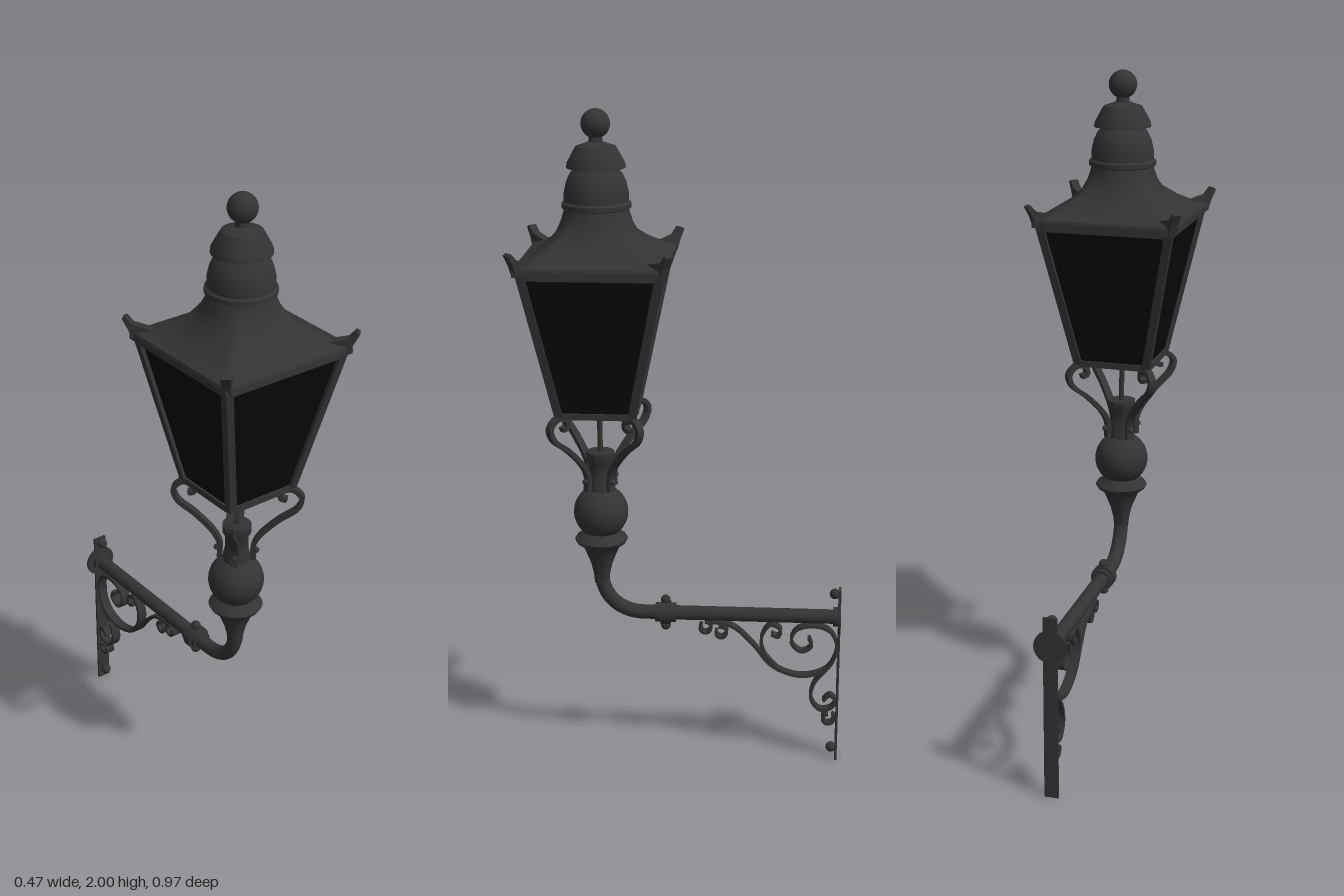
import * as THREE from 'three';
import { toCreasedNormals } from 'three/addons/utils/BufferGeometryUtils.js';

const AXIS_Z = 0.25; // lantern axis

export function createModel() {
  const iron = new THREE.MeshStandardMaterial({ color: 0x333333 });
  iron.name = 'dark iron';
  const glass = new THREE.MeshStandardMaterial({ color: 0x080808, side: THREE.DoubleSide });
  glass.name = 'black glass';

  const model = new THREE.Group();
  model.name = 'wallLantern';
  const lantern = new THREE.Group();
  lantern.name = 'lantern';
  lantern.position.z = AXIS_Z;
  model.add(lantern);

  const add = (parent, name, geo, x = 0, y = 0, z = 0, mat = iron) => {
    const mesh = new THREE.Mesh(geo, mat);
    mesh.name = name;
    mesh.position.set(x, y, z);
    parent.add(mesh);
    return mesh;
  };
  const vec2 = (list) => list.map(([x, y]) => new THREE.Vector2(x, y));
  const lathe = (list, seg = 32) => toCreasedNormals(new THREE.LatheGeometry(vec2(list), seg), 0.6);
  const ball = (r) => new THREE.SphereGeometry(r, 20, 14);
  const arc = (cy, r, from, to, n) => Array.from({ length: n + 1 }, (_, i) => {
    const a = from + (to - from) * i / n;
    return [Math.max(r * Math.cos(a), 0), cy + r * Math.sin(a)];
  });

  // Flat bar bent along a smooth curve in the XY plane
  const ribbon = (list, thick, width) => {
    const curve = new THREE.CatmullRomCurve3(list.map(([x, y]) => new THREE.Vector3(x, y, 0)));
    const n = list.length * 6, left = [], right = [];
    for (let i = 0; i <= n; i++) {
      const p = curve.getPoint(i / n), t = curve.getTangent(i / n);
      left.push(new THREE.Vector2(p.x - t.y * thick / 2, p.y + t.x * thick / 2));
      right.unshift(new THREE.Vector2(p.x + t.y * thick / 2, p.y - t.x * thick / 2));
    }
    const geo = new THREE.ExtrudeGeometry(new THREE.Shape([...left, ...right]), { depth: width, bevelEnabled: false });
    geo.translate(0, 0, -width / 2);
    return toCreasedNormals(geo, 0.7);
  };

  // ---- Chimney caps and ball finial
  add(lantern, 'lowerCap', lathe([[0.085, 1.715], [0.1, 1.722], [0.1, 1.735], [0.093, 1.74], [0.093, 1.765],
    [0.086, 1.795], [0.074, 1.82], [0.06, 1.832], [0.055, 1.845]]));
  add(lantern, 'upperCap', lathe([[0.05, 1.832], [0.085, 1.835], [0.083, 1.848], [0.07, 1.872], [0.057, 1.895],
    [0.035, 1.902], [0.02, 1.908], [0.018, 1.935]]));
  add(lantern, 'finial', ball(0.042), 0, 1.958, 0);

  // ---- Roof: square eaves blending into a round top
  const roofRows = [[0.215, 1.572, 0], [0.212, 1.582, 0], [0.18, 1.594, 0.1], [0.148, 1.618, 0.3],
    [0.12, 1.648, 0.6], [0.104, 1.68, 0.9], [0.096, 1.705, 1], [0.09, 1.73, 1]];
  const seg = 64, pos = [], idx = [];
  roofRows.forEach(([r, y, round], j) => {
    for (let i = 0; i <= seg; i++) {
      const a = i / seg * Math.PI * 2, c = Math.cos(a), s = Math.sin(a);
      const k = r * (round + (1 - round) / Math.max(Math.abs(c), Math.abs(s)));
      pos.push(k * c, y, k * s);
      if (j && i < seg) {
        const p = (j - 1) * (seg + 1) + i, q = p + seg + 1;
        idx.push(p, q, p + 1, p + 1, q, q + 1);
      }
    }
  });
  const roof = new THREE.BufferGeometry();
  roof.setAttribute('position', new THREE.Float32BufferAttribute(pos, 3));
  roof.setIndex(idx);
  add(lantern, 'roof', toCreasedNormals(roof, 0.7));
  add(lantern, 'eaves', new THREE.BoxGeometry(0.43, 0.016, 0.43), 0, 1.567, 0);

  // ---- Tapered glazed body
  const lo = 0.112, hi = 0.202, y0 = 1.125, y1 = 1.565;
  const post = (sx, sz) => {
    const geo = new THREE.BoxGeometry(0.024, y1 - y0, 0.024);
    const p = geo.attributes.position;
    for (let i = 0; i < p.count; i++) {
      const h = (p.getY(i) > 0 ? hi : lo) - 0.006;
      p.setXYZ(i, p.getX(i) + sx * h, p.getY(i) + (y0 + y1) / 2, p.getZ(i) + sz * h);
    }
    geo.computeVertexNormals();
    return geo;
  };
  const hornShape = new THREE.Shape(vec2([[0.24, 1.563], [0.296, 1.563], [0.305, 1.59], [0.322, 1.622],
    [0.312, 1.628], [0.292, 1.606], [0.24, 1.594]]));
  const pane = new THREE.BufferGeometry();
  const gl = lo - 0.004, gh = hi - 0.006;
  pane.setAttribute('position', new THREE.Float32BufferAttribute(
    [-gl, y0, gl, gl, y0, gl, gh, y1, gh, -gh, y1, gh], 3));
  pane.setIndex([0, 1, 2, 0, 2, 3]);
  pane.computeVertexNormals();

  // Bracket profile: strapped to the collar, swelling out, curling in under the lantern
  const bracketPath = [[0.05, 0.875], [0.049, 0.92], [0.066, 0.957], [0.12, 1.015], [0.174, 1.06], [0.184, 1.095],
    [0.158, 1.12], [0.128, 1.112], [0.124, 1.09], [0.142, 1.084]];
  for (let i = 0; i < 4; i++) {
    const sx = i % 2 ? 1 : -1, sz = i < 2 ? 1 : -1;
    add(lantern, 'cornerPost', post(sx, sz));

    const side = new THREE.Group();
    side.name = 'lanternSide';
    side.rotation.y = i * Math.PI / 2;
    lantern.add(side);
    add(side, 'glassPane', pane, 0, 0, 0, glass);
    add(side, 'bottomRail', new THREE.BoxGeometry(0.236, 0.018, 0.024), 0, 1.129, 0.106);
    add(side, 'topRail', new THREE.BoxGeometry(0.4, 0.014, 0.016), 0, 1.553, 0.194);

    const corner = new THREE.Group();
    corner.name = 'lanternCorner';
    corner.rotation.y = Math.PI / 4 + i * Math.PI / 2;
    lantern.add(corner);
    const horn = new THREE.ExtrudeGeometry(hornShape, { depth: 0.026, bevelEnabled: false });
    add(corner, 'eavesHorn', horn, 0, 0, -0.013);
    add(corner, 'scrollBracket', ribbon(bracketPath, 0.014, 0.022));
    add(corner, 'bracketBolt', ball(0.009), 0.058, 0.905, 0);
  }
  add(lantern, 'floorPlate', new THREE.BoxGeometry(0.2, 0.006, 0.2), 0, 1.135, 0);
  add(lantern, 'gasRod', new THREE.CylinderGeometry(0.008, 0.008, 0.17, 12), 0, 1.055, 0);

  // ---- Turned column with ball
  add(lantern, 'column', lathe([[0.022, 0.57], [0.025, 0.6], [0.033, 0.635], [0.047, 0.67], [0.056, 0.69],
    [0.074, 0.703], [0.08, 0.713], [0.074, 0.722], [0.062, 0.729],
    ...arc(0.8, 0.082, -0.85, 1.05, 14), [0.04, 0.885], [0.034, 0.91], [0.034, 0.95], [0.042, 0.965],
    [0.042, 0.99], [0, 0.99]]));

  // ---- Swept pipe from the column to the wall
  const pipe = new THREE.CurvePath();
  const v = (y, z) => new THREE.Vector3(0, y, z);
  pipe.add(new THREE.LineCurve3(v(0.62, 0.25), v(0.6, 0.25)));
  pipe.add(new THREE.CubicBezierCurve3(v(0.6, 0.25), v(0.53, 0.25), v(0.475, 0.2), v(0.475, 0.12)));
  pipe.add(new THREE.LineCurve3(v(0.475, 0.12), v(0.475, -0.47)));
  add(model, 'pipeArm', new THREE.TubeGeometry(pipe, 90, 0.022, 20));

  // Disc-like parts facing along the pipe
  const disc = (name, r, len, z) => {
    add(model, name, new THREE.CylinderGeometry(r, r, len, 28), 0, 0.475, z).rotation.x = Math.PI / 2;
  };
  disc('pipeJoint', 0.03, 0.062, 0.055);
  disc('jointBand', 0.037, 0.03, 0.055);
  for (const s of [-1, 1]) add(model, 'jointKnob', ball(0.015), 0, 0.475 + s * 0.042, 0.055);

  // ---- Wall plate with bolts
  add(model, 'wallPlate', new THREE.BoxGeometry(0.042, 0.565, 0.007), 0, 0.2825, -0.4755);
  disc('wallDisc', 0.05, 0.007, -0.4755);
  disc('wallSocket', 0.03, 0.016, -0.465);
  for (const y of [0.035, 0.55]) add(model, 'wallBolt', ball(0.016), 0, y, -0.46);

  // ---- Scrollwork under the arm, drawn as (z, y)
  const curl = (cz, cy, r, start) => Array.from({ length: 9 }, (_, i) => {
    const a = start + i * 0.68, k = r * (1 - i * 0.035);
    return [cz + k * Math.cos(a), cy + k * Math.sin(a)];
  });
  const scrolls = [
    [[-0.08, 0.452], [-0.15, 0.437], [-0.214, 0.379], [-0.272, 0.31], [-0.362, 0.278], [-0.442, 0.305],
      [-0.47, 0.374], [-0.45, 0.427], [-0.4, 0.445], [-0.345, 0.43], [-0.331, 0.388], [-0.362, 0.36],
      [-0.392, 0.378], [-0.384, 0.405]],
    [[-0.294, 0.294], [-0.246, 0.352], [-0.24, 0.405], [-0.267, 0.446], [-0.297, 0.43], [-0.29, 0.407], [-0.269, 0.414]],
    [[-0.44, 0.302], [-0.405, 0.257], [-0.394, 0.204], [-0.42, 0.167], [-0.456, 0.172], [-0.471, 0.197],
      [-0.452, 0.214], [-0.432, 0.195]],
    curl(-0.066, 0.431, 0.02, 1.6),
    curl(-0.114, 0.416, 0.02, 1.2),
    curl(-0.448, 0.136, 0.02, 2.4),
  ];
  for (const path of scrolls) {
    add(model, 'armScroll', ribbon(path, 0.009, 0.03)).rotation.y = -Math.PI / 2;
  }
  return model;
}
